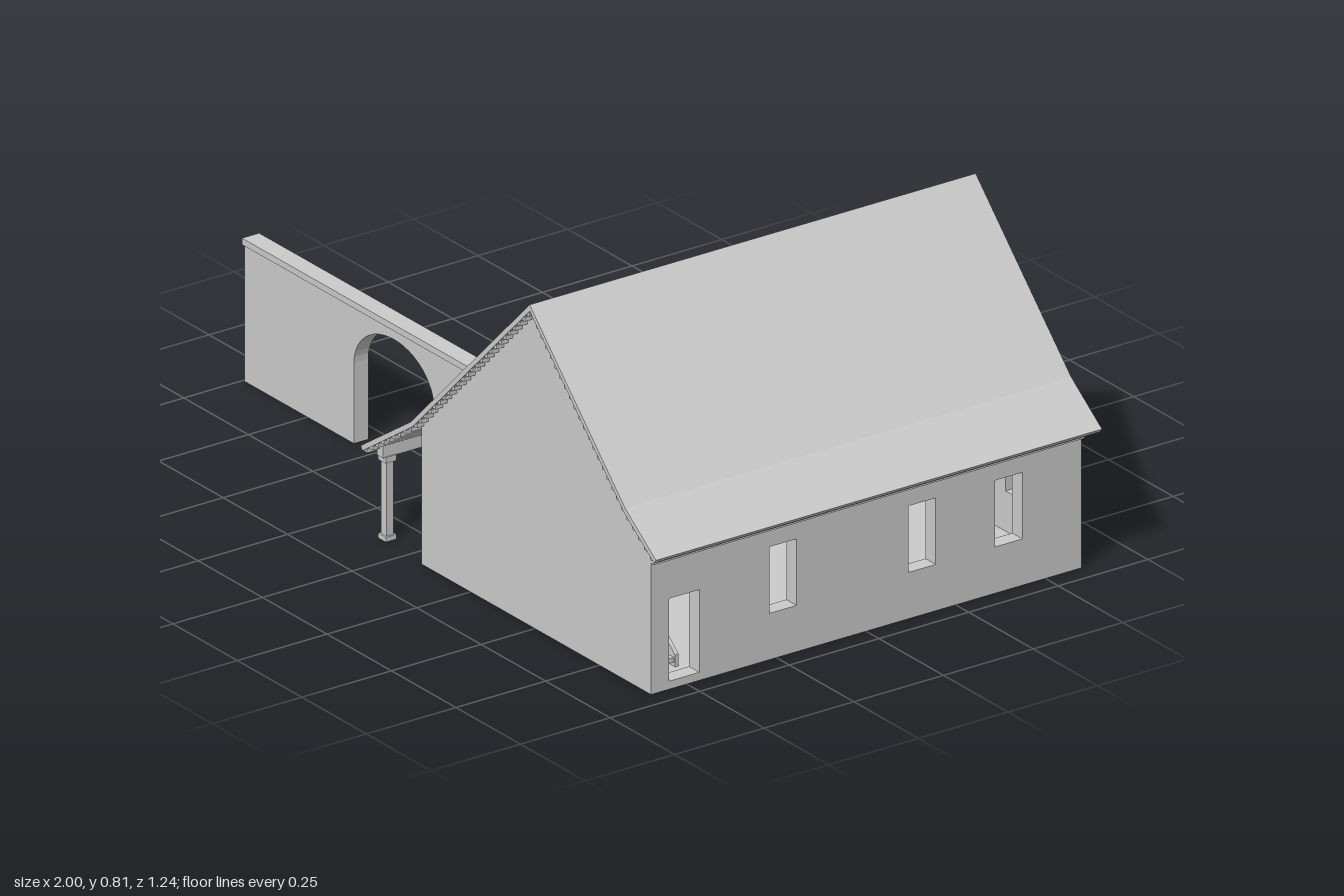
import * as THREE from 'three';

const mat = new THREE.MeshStandardMaterial({ color: 0xcccccc, flatShading: true, side: THREE.DoubleSide });

function shapeOf(pts, holes = []) {
  const s = new THREE.Shape(pts.map(p => new THREE.Vector2(p[0], p[1])));
  for (const [a0, b0, a1, b1] of holes) {
    s.holes.push(new THREE.Path([[a0, b0], [a0, b1], [a1, b1], [a1, b0]].map(p => new THREE.Vector2(p[0], p[1]))));
  }
  return s;
}

function add(parent, name, geo, x = 0, y = 0, z = 0) {
  const m = new THREE.Mesh(geo, mat);
  m.name = name;
  m.position.set(x, y, z);
  parent.add(m);
  return m;
}

// Box given by its minimum and maximum corners
function box(parent, name, x0, x1, y0, y1, z0, z1) {
  return add(parent, name, new THREE.BoxGeometry(x1 - x0, y1 - y0, z1 - z0),
    (x0 + x1) / 2, (y0 + y1) / 2, (z0 + z1) / 2);
}

const extrude = (shape, depth) =>
  new THREE.ExtrudeGeometry(shape, { depth, bevelEnabled: false, curveSegments: 12 });

export function createModel() {
  const root = new THREE.Group();
  root.name = 'barnWithPorch';
  const T = 0.04;

  // House walls
  const house = new THREE.Group();
  house.name = 'house';
  root.add(house);
  const gable = [[0.06, 0], [0.95, 0], [0.95, 0.375], [0.88, 0.425], [0.51, 0.796], [0.06, 0.351]];
  const win = c => [c - 0.038, 0.115, c + 0.038, 0.28];
  add(house, 'frontWall', extrude(shapeOf(gable), T), 0, 0, 0.6 - T);
  add(house, 'backWall', extrude(shapeOf(gable, [win(0.75), win(0.44), win(0.215)]), T), 0, 0, -0.6);

  // Long walls: shape runs along z, thickness runs towards -x
  function longWall(name, x, top, holes) {
    const e = 0.6 - T;
    const m = add(house, name, extrude(shapeOf([[-e, 0], [e, 0], [e, top], [-e, top]], holes), T), x);
    m.rotation.y = -Math.PI / 2;
  }
  longWall('rightWall', 0.95, 0.375, [win(0.232), win(-0.156), win(-0.398), [0.465, 0.02, 0.55, 0.225]]);
  longWall('leftWall', 0.06 + T, 0.351, [win(0.232), [-0.165, 0.02, -0.075, 0.225], [-0.54, 0.02, -0.45, 0.225]]);
  box(house, 'floor', 0.06, 0.95, 0, 0.015, -0.6, 0.6);

  // Stairs inside the side door
  const stairs = new THREE.Group();
  stairs.name = 'stairs';
  house.add(stairs);
  for (let i = 0; i < 10; i++) {
    const x = 0.88 - i * 0.025, y = 0.025 + i * 0.021;
    box(stairs, 'stairTread', x - 0.03, x, y, y + 0.012, 0.485, 0.555);
  }
  const stringer = shapeOf([[0.885, 0.015], [0.885, 0.045], [0.63, 0.26], [0.63, 0.225], [0.86, 0.015]]);
  add(stairs, 'stairStringer', extrude(stringer, 0.01), 0, 0, 0.476);

  // Roof with flared right eave and a shallower porch slope on the left
  const roof = new THREE.Group();
  roof.name = 'roof';
  root.add(roof);
  const outer = [[-0.145, 0.225], [0.05, 0.355], [0.51, 0.813], [0.88, 0.443], [1, 0.357]];
  const inner = [[0.992, 0.347], [0.876, 0.43], [0.51, 0.797], [0.055, 0.344], [-0.139, 0.214]];
  add(roof, 'roofCovering', extrude(shapeOf([...outer, ...inner]), 1.244), 0, 0, -0.622);

  // Battens under the roof, showing as steps at the gable overhang
  for (let i = 0; i < 4; i++) {
    const a = inner[i], b = inner[i + 1];
    const len = Math.hypot(b[0] - a[0], b[1] - a[1]);
    const n = Math.round(len / 0.026);
    for (let k = 0; k < n; k++) {
      const t = (k + 0.5) / n;
      const x = a[0] + (b[0] - a[0]) * t, y = a[1] + (b[1] - a[1]) * t;
      box(roof, 'roofBatten', x - 0.006, x + 0.006, y - 0.007, y + 0.003, -0.62, 0.62);
    }
  }

  // Stepped cornice under the right eave
  for (let i = 0; i < 3; i++) {
    box(roof, 'eaveCornice', 0.94, 0.962 + i * 0.01, 0.326 + i * 0.009, 0.335 + i * 0.009, -0.6, 0.6);
  }

  // Porch: posts with feet and capitals carrying a beam
  const porch = new THREE.Group();
  porch.name = 'porch';
  root.add(porch);
  for (const z of [-0.57, -0.37, -0.18, 0.03, 0.58]) {
    box(porch, 'porchPost', -0.11, -0.09, 0, 0.215, z - 0.01, z + 0.01);
    box(porch, 'postFoot', -0.115, -0.085, 0, 0.012, z - 0.015, z + 0.015);
    box(porch, 'postCapital', -0.115, -0.085, 0.195, 0.21, z - 0.015, z + 0.015);
  }
  box(porch, 'porchBeam', -0.112, -0.088, 0.208, 0.238, -0.6, 0.6);

  // Yard wall with a wide gateway arch and a small doorway under the porch
  const yard = new THREE.Group();
  yard.name = 'yardWall';
  root.add(yard);
  const w = new THREE.Shape();
  w.moveTo(-0.995, 0);
  w.lineTo(-0.57, 0);
  w.lineTo(-0.57, 0.2);
  w.absellipse(-0.415, 0.2, 0.155, 0.115, Math.PI, 0, true);
  w.lineTo(-0.26, 0);
  w.lineTo(-0.08, 0);
  w.lineTo(-0.08, 0.185);
  w.quadraticCurveTo(-0.078, 0.205, -0.055, 0.207);
  w.lineTo(0.008, 0.207);
  w.quadraticCurveTo(0.031, 0.205, 0.033, 0.185);
  w.lineTo(0.033, 0);
  w.lineTo(0.065, 0);
  w.lineTo(0.065, 0.207);
  w.lineTo(0.045, 0.207);
  w.lineTo(0.045, 0.338);
  w.lineTo(-0.995, 0.338);
  add(yard, 'archedWall', extrude(w, 0.04), 0, 0, 0.295);

  // Coping, mitred where it runs into the roof
  const cap = shapeOf([[-1, -0.338], [0.02, -0.338], [0.045, -0.29], [-1, -0.29]]);
  const coping = add(yard, 'wallCoping', extrude(cap, 0.016), 0, 0.338, 0);
  coping.rotation.x = -Math.PI / 2;

  return root;
}
